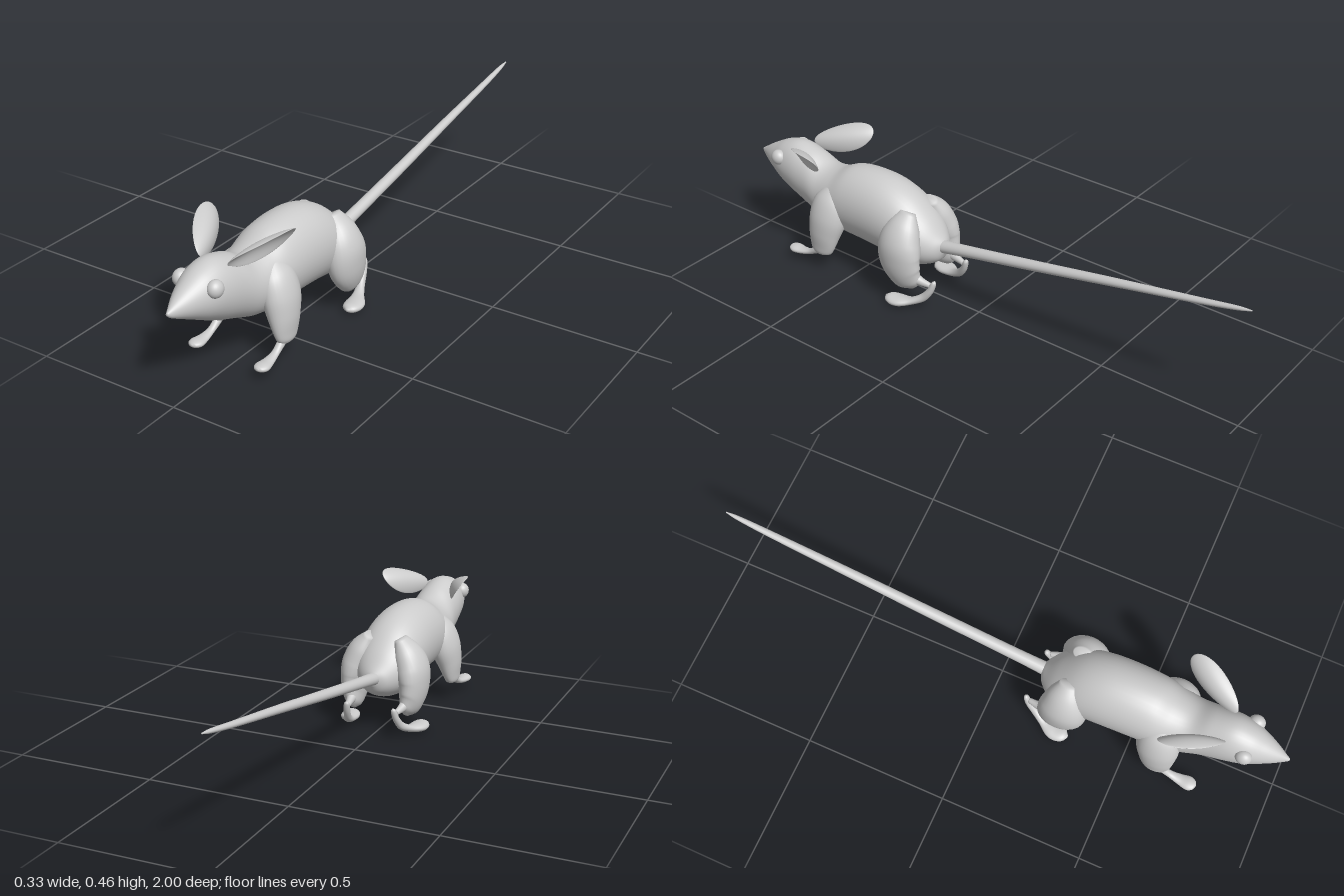
import * as THREE from 'three';

const material = new THREE.MeshStandardMaterial({ color: 0xcccccc });

function addMesh(group, name, geometry) {
  const mesh = new THREE.Mesh(geometry, material);
  mesh.name = name;
  group.add(mesh);
  return mesh;
}

// Smooth closed skin over sections [x, y, z, halfWidth, halfDepth];
// axis fixes the section plane, otherwise sections follow the path.
function skin(sections, { side = 1, steps = 40, sides = 28, axis = null } = {}) {
  const path = new THREE.CatmullRomCurve3(
    sections.map(([x, y, z]) => new THREE.Vector3(x * side, y, z)), false, 'catmullrom');
  const size = new THREE.CatmullRomCurve3(
    sections.map(s => new THREE.Vector3(s[3], s[4], 0)), false, 'catmullrom');
  const positions = [], index = [];
  for (let i = 0; i <= steps; i++) {
    const t = i / steps, p = path.getPoint(t), r = size.getPoint(t);
    const T = axis ? axis.clone() : path.getTangent(t);
    const S = new THREE.Vector3(1, 0, 0).addScaledVector(T, -T.x).normalize();
    const U = T.clone().cross(S);
    for (let j = 0; j < sides; j++) {
      const a = (j / sides) * Math.PI * 2;
      const v = p.clone()
        .addScaledVector(S, Math.cos(a) * Math.max(r.x, 0.0008))
        .addScaledVector(U, Math.sin(a) * Math.max(r.y, 0.0008));
      positions.push(v.x, v.y, v.z);
      if (i < steps) {
        const k = (j + 1) % sides, b = i * sides, c = b + sides;
        index.push(b + j, b + k, c + j, b + k, c + k, c + j);
      }
    }
  }
  // End caps
  const first = positions.length / 3, last = steps * sides;
  for (const t of [0, 1]) positions.push(...path.getPoint(t).toArray());
  for (let j = 0; j < sides; j++) {
    const k = (j + 1) % sides;
    index.push(first, k, j, first + 1, last + j, last + k);
  }
  const geometry = new THREE.BufferGeometry();
  geometry.setAttribute('position', new THREE.Float32BufferAttribute(positions, 3));
  geometry.setIndex(index);
  geometry.computeVertexNormals();
  return geometry;
}

// Cupped leaf: a flattened sphere with its rim bent forward
function earGeometry(side) {
  const geometry = new THREE.SphereGeometry(1, 32, 24);
  const p = geometry.attributes.position;
  for (let i = 0; i < p.count; i++) {
    const x = p.getX(i), y = p.getY(i), z = p.getZ(i);
    const narrow = 0.9 + 0.16 * x;
    p.setXYZ(i, x, y * narrow, z * 0.006 + 0.024 * (x * x * 0.5 + y * y) - 0.012);
  }
  const u = new THREE.Vector3(0.045 * side, 0.02, -0.1);
  const v = new THREE.Vector3(0.035 * side, 0.05, 0).multiplyScalar(side);
  const n = u.clone().cross(v).normalize();
  geometry.applyMatrix4(new THREE.Matrix4().makeBasis(u, v, n).setPosition(0.1 * side, 0.413, 0.69));
  geometry.computeVertexNormals();
  return geometry;
}

export function createModel() {
  const model = new THREE.Group();
  model.name = 'mouse';

  // Head and body: [z, bottom, top, halfWidth] from rump to nose
  const profile = [
    [0.145, 0.185, 0.22, 0.012], [0.165, 0.15, 0.245, 0.05], [0.21, 0.125, 0.3, 0.088],
    [0.28, 0.11, 0.36, 0.11], [0.36, 0.12, 0.393, 0.116], [0.45, 0.127, 0.402, 0.116],
    [0.54, 0.13, 0.392, 0.113], [0.61, 0.135, 0.363, 0.106], [0.67, 0.145, 0.358, 0.095],
    [0.73, 0.168, 0.387, 0.085], [0.8, 0.196, 0.405, 0.08], [0.86, 0.225, 0.394, 0.071],
    [0.91, 0.252, 0.37, 0.052], [0.95, 0.273, 0.347, 0.033], [0.985, 0.292, 0.324, 0.013],
    [1, 0.305, 0.314, 0.004],
  ];
  addMesh(model, 'body', skin(
    profile.map(([z, lo, hi, w]) => [0, (lo + hi) / 2, z, w, (hi - lo) / 2]),
    { steps: 90, sides: 40, axis: new THREE.Vector3(0, 0, 1) }));

  // Long straight tail
  addMesh(model, 'tail', skin([
    [0, 0.2, 0.19, 0.025, 0.023], [0, 0.226, 0.05, 0.021, 0.02], [0, 0.28, -0.24, 0.019, 0.017],
    [0, 0.336, -0.53, 0.016, 0.014], [0, 0.39, -0.82, 0.012, 0.01], [0, 0.416, -0.95, 0.008, 0.007],
    [0, 0.426, -1, 0.002, 0.002],
  ], { sides: 20 }));

  for (const side of [1, -1]) {
    const label = side > 0 ? 'left' : 'right';
    const part = (name, sections) => addMesh(model, label + name, skin(sections, { side }));

    addMesh(model, label + 'Ear', earGeometry(side));
    const eye = addMesh(model, label + 'Eye', new THREE.SphereGeometry(0.028, 28, 20));
    eye.position.set(0.062 * side, 0.345, 0.86);
    eye.scale.x = 0.88;

    // Front leg and paw
    part('FrontLeg', [
      [0.06, 0.32, 0.59, 0.02, 0.03], [0.077, 0.27, 0.592, 0.047, 0.065], [0.096, 0.21, 0.597, 0.052, 0.073],
      [0.111, 0.15, 0.605, 0.042, 0.063], [0.12, 0.1, 0.61, 0.028, 0.051], [0.122, 0.075, 0.612, 0.021, 0.038],
      [0.122, 0.064, 0.612, 0.008, 0.014],
    ]);
    part('FrontPaw', [
      [0.121, 0.09, 0.61, 0.014, 0.016], [0.121, 0.07, 0.638, 0.013, 0.014], [0.122, 0.051, 0.67, 0.013, 0.01],
      [0.123, 0.042, 0.705, 0.019, 0.011], [0.124, 0.041, 0.738, 0.025, 0.013], [0.124, 0.043, 0.757, 0.017, 0.009],
      [0.124, 0.044, 0.764, 0.004, 0.003],
    ]);

    // Haunch, shank and hind foot
    part('Haunch', [
      [0.055, 0.33, 0.26, 0.02, 0.03], [0.08, 0.28, 0.262, 0.048, 0.062], [0.1, 0.225, 0.264, 0.057, 0.08],
      [0.109, 0.17, 0.258, 0.05, 0.082], [0.108, 0.12, 0.237, 0.04, 0.068], [0.102, 0.088, 0.215, 0.026, 0.046],
      [0.1, 0.072, 0.205, 0.008, 0.016],
    ]);
    part('Shank', [
      [0.102, 0.115, 0.21, 0.022, 0.025], [0.097, 0.106, 0.175, 0.014, 0.015], [0.091, 0.1, 0.14, 0.009, 0.009],
    ]);
    part('HindFoot', [
      [0.086, 0.12, 0.124, 0.003, 0.003], [0.088, 0.11, 0.127, 0.01, 0.009], [0.093, 0.078, 0.14, 0.012, 0.012],
      [0.101, 0.046, 0.166, 0.013, 0.014], [0.115, 0.025, 0.205, 0.02, 0.013], [0.13, 0.018, 0.248, 0.033, 0.016],
      [0.134, 0.019, 0.284, 0.026, 0.014], [0.134, 0.02, 0.302, 0.005, 0.004],
    ]);
  }
  return model;
}
